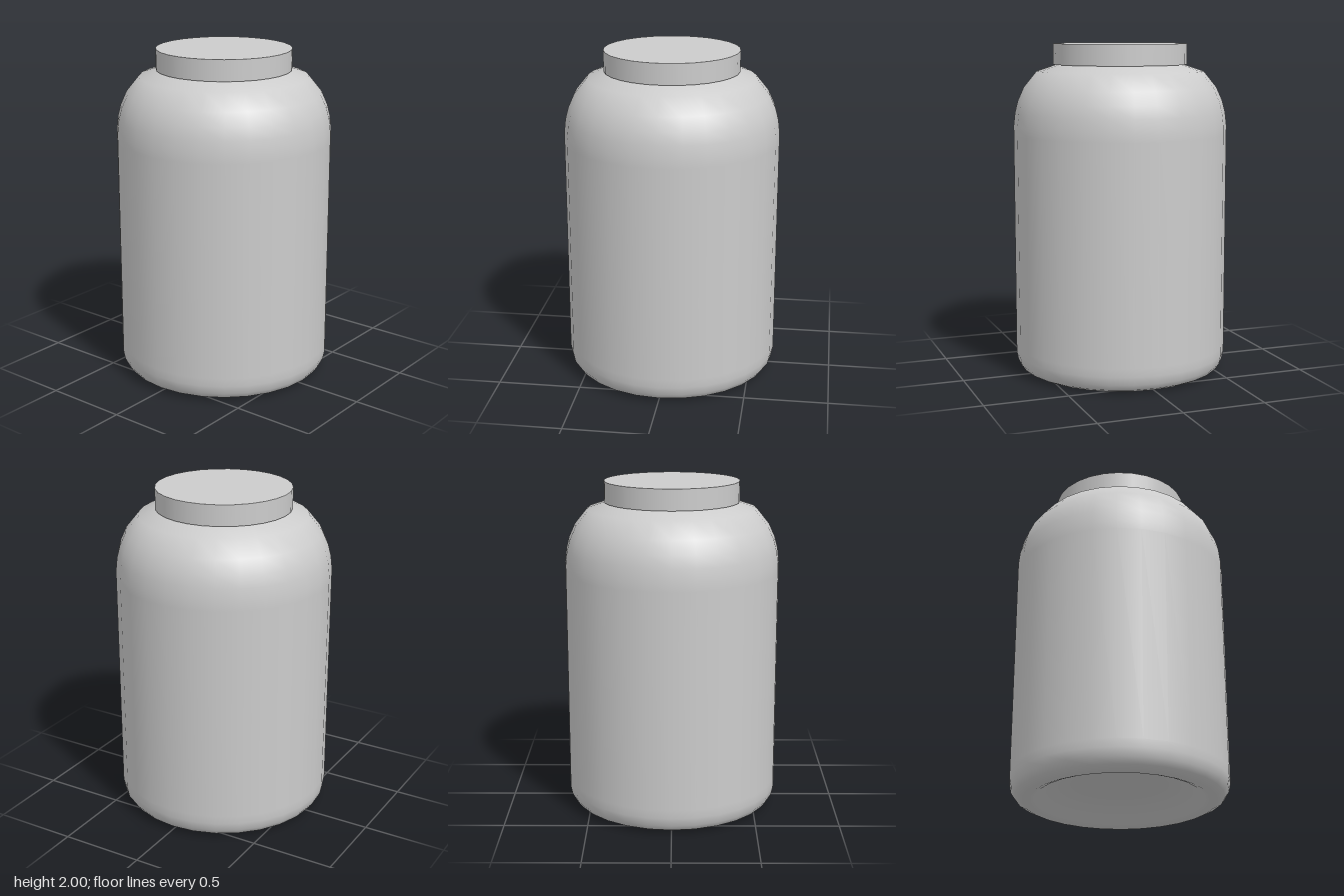
import * as THREE from 'three';

const SIDES = 28;

export function createModel() {
  const group = new THREE.Group();
  const material = new THREE.MeshStandardMaterial({ color: 0xcccccc });

  // Jar body: dished base, rounded foot, straight wall, curved shoulder
  const profile = [
    [0, 0.115], [0.15, 0.115], [0.28, 0.108], [0.4, 0.08], [0.49, 0.018], [0.53, 0.003],
    [0.565, 0.003], [0.61, 0.025], [0.635, 0.06], [0.645, 0.11], [0.645, 0.16],
    [0.645, 1.46], [0.645, 1.51], [0.636, 1.59], [0.618, 1.66], [0.582, 1.74],
    [0.505, 1.835], [0.385, 1.875], [0.37, 1.89],
  ].map(([r, y]) => new THREE.Vector2(r, y));
  const body = new THREE.Mesh(new THREE.LatheGeometry(profile, SIDES), material);
  body.name = 'jarBody';
  group.add(body);

  // Flat lid, slightly wider than the neck
  const lid = new THREE.Mesh(new THREE.CylinderGeometry(0.405, 0.405, 0.125, SIDES), material);
  lid.position.y = 2 - 0.125 / 2;
  lid.name = 'lid';
  group.add(lid);

  return group;
}
